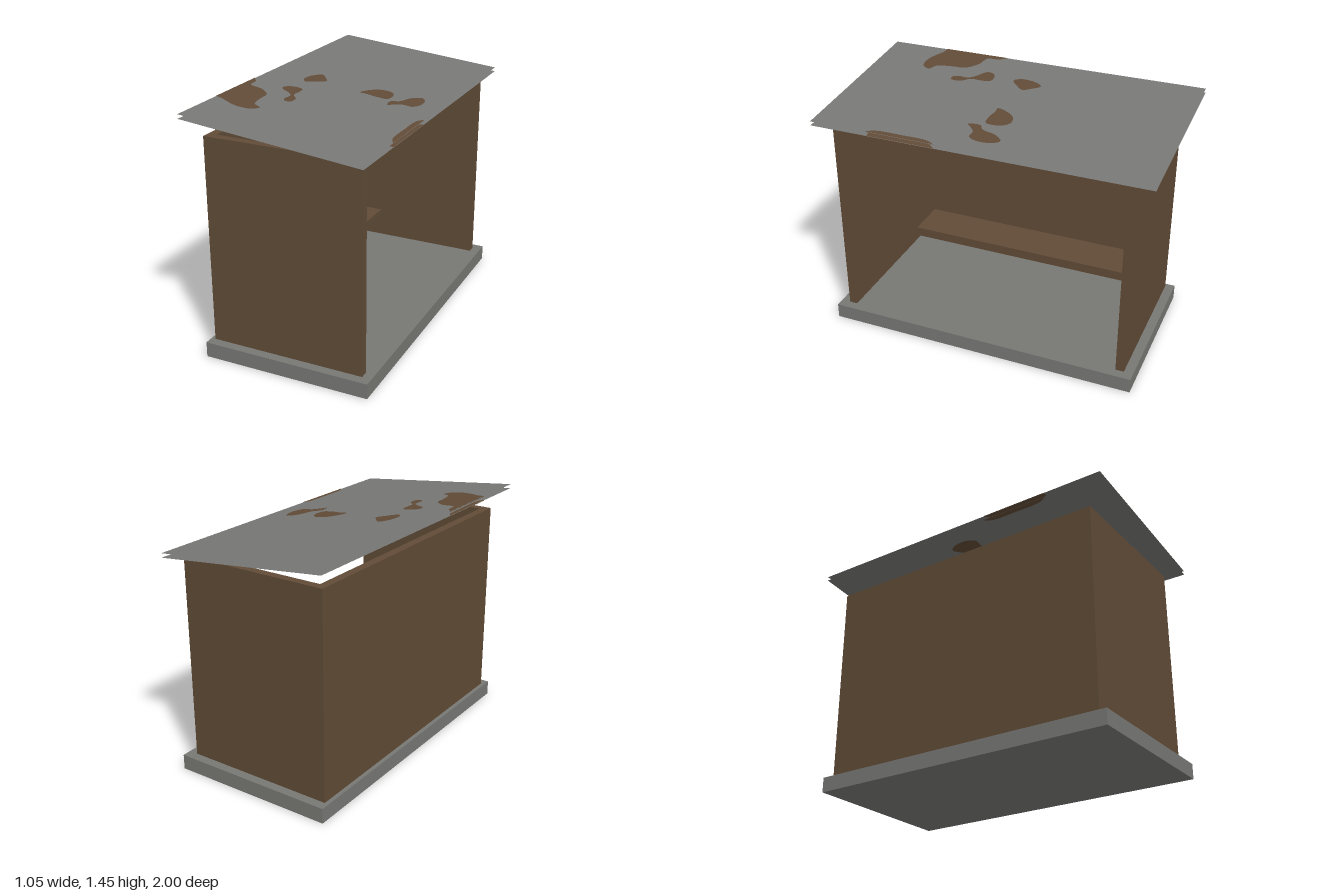
import * as THREE from 'three';

const concrete = new THREE.MeshStandardMaterial({ name: 'concrete grey', color: 0x777874 });
const wood = new THREE.MeshStandardMaterial({ name: 'wood brown', color: 0x604b36 });
const sheetMetal = new THREE.MeshStandardMaterial({ name: 'roof grey', color: 0x777876, side: THREE.DoubleSide });
const rust = new THREE.MeshStandardMaterial({ name: 'rust brown', color: 0x604b36, side: THREE.DoubleSide });

// Box given by its limits on each axis
function box(name, material, [x0, x1], [y0, y1], [z0, z1]) {
  const mesh = new THREE.Mesh(new THREE.BoxGeometry(x1 - x0, y1 - y0, z1 - z0), material);
  mesh.position.set((x0 + x1) / 2, (y0 + y1) / 2, (z0 + z1) / 2);
  mesh.name = name;
  return mesh;
}

// Rust spot outlines as x, z points; the open ones end on a roof edge
const spots = [
  { closed: true, pts: [[-.25, -.09], [-.21, -.05], [-.18, 0], [-.22, .05], [-.27, .09], [-.30, .05], [-.29, -.04]] },
  { closed: true, pts: [[.06, .05], [.09, -.03], [.13, -.07], [.19, -.08], [.23, -.04], [.23, .05], [.16, .06], [.10, .05]] },
  { closed: true, pts: [[.38, -.10], [.41, -.07], [.42, .02], [.39, .08], [.34, .08], [.30, .11], [.27, .14], [.26, .07], [.30, .04], [.33, -.05]] },
  { closed: true, pts: [[-.32, .26], [-.29, .22], [-.22, .22], [-.21, .28], [-.21, .34], [-.17, .39], [-.17, .45], [-.20, .46], [-.22, .43], [-.22, .36], [-.26, .32], [-.31, .29]] },
  { closed: false, pts: [[-.525, .23], [-.49, .28], [-.48, .35], [-.40, .37], [-.33, .43], [-.32, .52], [-.30, .61], [-.25, .64], [-.28, .69], [-.36, .70], [-.44, .67], [-.48, .65], [-.525, .64]] },
  { closed: false, pts: [[.525, .23], [.50, .28], [.495, .42], [.50, .60], [.525, .65]] },
];

const WIDTH = 1.05, DROP = 0.11;
const slope = Math.atan2(DROP, WIDTH);
const stretch = 1 / Math.cos(slope);

function spotGeometry({ closed, pts }, mirror) {
  const curve = new THREE.CatmullRomCurve3(
    pts.map(([x, z]) => new THREE.Vector3(x * mirror * stretch, z, 0)), closed);
  const outline = curve.getPoints(48).map(p => new THREE.Vector2(p.x, p.y));
  if (closed) outline.pop();
  return new THREE.ShapeGeometry(new THREE.Shape(outline)).rotateX(Math.PI / 2);
}

// One tilted roof sheet, rusty on both faces
function roofSheet(name, y, mirror) {
  const group = new THREE.Group();
  group.name = name;
  const sheet = new THREE.Mesh(
    new THREE.PlaneGeometry(WIDTH * stretch, 2).rotateX(-Math.PI / 2), sheetMetal);
  sheet.name = name + 'Panel';
  group.add(sheet);
  for (const spot of spots) {
    const geometry = spotGeometry(spot, mirror);
    for (const offset of [0.002, -0.002]) {
      const mesh = new THREE.Mesh(geometry, rust);
      mesh.position.y = offset;
      mesh.name = 'rustSpot';
      group.add(mesh);
    }
  }
  group.rotation.z = -slope;
  group.position.y = y;
  return group;
}

export function createModel() {
  const model = new THREE.Group();
  model.name = 'shelter';

  // Floor slab
  model.add(box('floorSlab', concrete, [-0.475, 0.525], [0, 0.09], [-0.945, 0.945]));

  // Walls: closed at the back and both ends, open towards +x
  const height = [0.09, 1.305];
  model.add(box('backWall', wood, [-0.45, -0.40], height, [-0.84, 0.84]));
  model.add(box('frontEndWall', wood, [-0.45, 0.47], height, [0.84, 0.89]));
  model.add(box('rearEndWall', wood, [-0.45, 0.47], height, [-0.89, -0.84]));

  // Bench along the back wall
  model.add(box('bench', wood, [-0.40, -0.14], [0.285, 0.33], [-0.72, 0.72]));

  // Two thin roof sheets; the lower one carries the mirrored rust pattern
  model.add(roofSheet('upperRoofSheet', 1.39, 1));
  model.add(roofSheet('lowerRoofSheet', 1.365, -1));

  return model;
}
